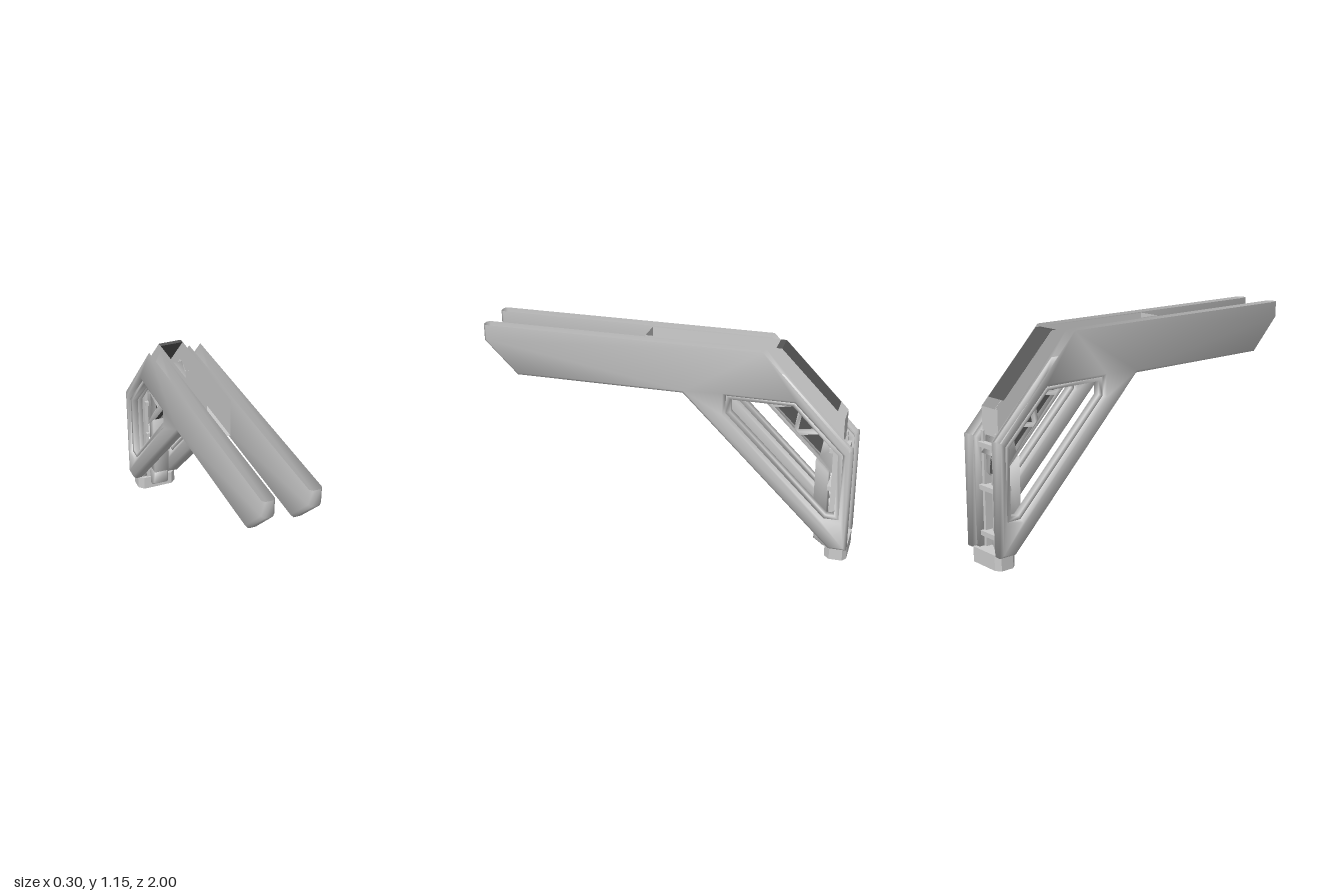
import * as THREE from 'three';

const grey = new THREE.MeshStandardMaterial({ color: 0xcccccc, side: THREE.DoubleSide });
const greyOneSided = new THREE.MeshStandardMaterial({ color: 0xcccccc });
const dark = new THREE.MeshStandardMaterial({ color: 0x555555, side: THREE.DoubleSide });

// Averages the face normals at every shared corner, giving soft gradients
function softenNormals(geometry) {
  const position = geometry.getAttribute('position');
  const flat = geometry.getAttribute('normal');
  const sums = new Map();
  const key = (i) => [position.getX(i), position.getY(i), position.getZ(i)].map((v) => v.toFixed(4)).join();
  for (let i = 0; i < position.count; i++) {
    const sum = sums.get(key(i)) ?? new THREE.Vector3();
    sums.set(key(i), sum.add(new THREE.Vector3().fromBufferAttribute(flat, i)));
  }
  for (let i = 0; i < position.count; i++) {
    const n = sums.get(key(i)).clone().normalize();
    flat.setXYZ(i, n.x, n.y, n.z);
  }
}

// Leaves out the rim faces whose corners all satisfy isOpen(z, y), making an open shell
function openShell(geometry, isOpen) {
  const position = geometry.getAttribute('position');
  const kept = [];
  for (let i = 0; i < position.count; i += 3) {
    const corners = [0, 1, 2].map((k) => new THREE.Vector3().fromBufferAttribute(position, i + k));
    const isRim = corners.some((c) => Math.abs(c.z - corners[0].z) > 1e-4);
    if (isRim && corners.every((c) => isOpen(c.x, c.y))) continue;
    corners.forEach((c) => kept.push(c.x, Math.min(c.y, 1.15), c.z));
  }
  const shell = new THREE.BufferGeometry();
  shell.setAttribute('position', new THREE.Float32BufferAttribute(kept, 3));
  shell.computeVertexNormals();
  return shell;
}

// Extrudes a side profile of [z, y] points across x, centred on the given x
function slab(name, profile, x, width, { holes = [], bevel = 0, rim = 0, isOpen, soft = false, material = grey } = {}) {
  const toPoints = (list) => list.map(([z, y]) => new THREE.Vector2(z, y));
  const shape = new THREE.Shape(toPoints(profile));
  shape.holes = holes.map((h) => new THREE.Path(toPoints(h)));
  const depth = width - 2 * rim;
  let geometry = new THREE.ExtrudeGeometry(shape, {
    depth, bevelEnabled: bevel > 0, bevelThickness: rim,
    bevelSize: bevel, bevelOffset: -bevel, bevelSegments: 1,
  });
  if (isOpen) geometry = openShell(geometry, isOpen);
  geometry.translate(0, 0, -depth / 2).rotateY(-Math.PI / 2).translate(x, 0, 0);
  if (soft) softenNormals(geometry);
  const mesh = new THREE.Mesh(geometry, material);
  mesh.name = name;
  return mesh;
}

function box(name, x0, x1, y0, y1, z0, z1) {
  const mesh = new THREE.Mesh(new THREE.BoxGeometry(x1 - x0, y1 - y0, z1 - z0), grey);
  mesh.position.set((x0 + x1) / 2, (y0 + y1) / 2, (z0 + z1) / 2);
  mesh.name = name;
  return mesh;
}

export function createModel() {
  const model = new THREE.Group();
  model.name = 'bentArmBracket';

  const armOutline = [
    [1, 1.165], [-0.527, 1.165], [-1, 0.662], [-1, 0.075], [-0.905, 0.075],
    [-0.1, 0.88], [0.82, 0.88], [1, 1.06],
  ];
  // The arms are hollow: open along the top and the back slope
  const armTop = (z, y) => y > Math.min(1.165, 0.662 + (z + 1) * 1.0625) - 0.03;
  const windowOutline = [
    [-0.33, 0.89], [-0.69, 0.89], [-0.95, 0.63], [-0.95, 0.25], [-0.87, 0.25], [-0.33, 0.79],
  ];
  const windowInner = [
    [-0.355, 0.87], [-0.68, 0.87], [-0.925, 0.622], [-0.925, 0.272], [-0.88, 0.272], [-0.355, 0.8],
  ];
  // Inner wall that follows the back edge of the arm
  const linerOutline = [
    [-0.48, 0.9], [-0.48, 1.02], [-0.62, 1.02], [-0.98, 0.65], [-0.98, 0.08],
    [-0.9, 0.08], [-0.9, 0.25], [-0.93, 0.28], [-0.93, 0.62], [-0.68, 0.9],
  ];

  // Mirrored side arms with stepped window frames
  for (const side of [1, -1]) {
    const arm = new THREE.Group();
    arm.name = side > 0 ? 'leftArm' : 'rightArm';
    arm.add(
      slab('armShell', armOutline, side * 0.117, 0.066,
        { holes: [windowOutline], bevel: 0.015, rim: 0.014, isOpen: armTop, soft: true }),
      slab('windowFrame', windowOutline, side * 0.115, 0.036, { holes: [windowInner], soft: true }),
      slab('innerWall', linerOutline, side * 0.078, 0.026, { soft: true }),
    );
    model.add(arm);
  }

  // Central trough: open above, at the nose and along the back slope
  const troughOpening = (z, y) => y > 1.14 || z > 0.11 || (z < -0.59 && y > z + 1.72);
  model.add(slab('trough', [
    [0.12, 1.15], [-0.6, 1.15], [-0.94, 0.8], [-0.94, 0.66], [-0.69, 0.9], [-0.5, 0.9], [-0.5, 0.94], [0.12, 0.94],
  ], 0, 0.13, { isOpen: troughOpening }));
  const nose = new THREE.Mesh(new THREE.PlaneGeometry(0.13, 0.21).rotateY(Math.PI), greyOneSided);
  nose.name = 'noseWall';
  nose.position.set(0, 1.045, 0.12);
  model.add(nose);
  model.add(slab('slopePanel', [
    [-0.57, 1.15], [-0.6, 1.15], [-0.9, 0.84], [-0.87, 0.84],
  ], 0, 0.128, { material: dark }));

  // Diagonal truss: triangular cut-outs alternate along its length
  const along = (u, v) => [-0.47 - (u + v) * Math.SQRT1_2, 0.89 + (v - u) * Math.SQRT1_2];
  const cutouts = [];
  for (let i = 0; i < 5; i++) {
    const u = 0.1 + i * 0.1;
    const [base, tip] = i % 2 ? [0.02, 0.125] : [0.125, 0.02];
    cutouts.push([along(u - 0.075, base), along(u + 0.075, base), along(u, tip)]);
  }
  const trussOutline = [
    along(0, 0), along(0.63, 0), along(0.63, 0.03), along(0.5, 0.16), along(-0.07, 0.16), along(-0.07, 0.07),
  ];
  model.add(
    slab('truss', trussOutline, 0, 0.09, { holes: cutouts, soft: true }),
    slab('trussWeb', trussOutline, 0, 0.03, { material: dark }),
  );

  // Column between the arms, hollowed towards the back
  model.add(slab('columnFront', [
    [-0.8, 0.16], [-0.8, 0.54], [-0.87, 0.47], [-0.87, 0.16],
  ], 0, 0.09, { soft: true }));
  for (const side of [1, -1]) {
    const x = side * 0.056;
    model.add(box('columnCheek', x - 0.01, x + 0.01, 0.08, 0.68, -0.95, -0.89));
  }
  for (const y of [0.14, 0.38, 0.6]) {
    model.add(box('crossBar', -0.065, 0.065, y, y + 0.025, -0.97, -0.87));
  }
  const rod = new THREE.Mesh(new THREE.CylinderGeometry(0.025, 0.025, 0.56, 12), grey);
  rod.name = 'columnRod';
  rod.position.set(0, 0.36, -0.91);
  model.add(rod);

  // Front hook and chamfered foot
  model.add(slab('hook', [
    [-0.81, 0.17], [-0.92, 0.17], [-0.92, 0.03], [-0.865, 0.03], [-0.81, 0.07],
  ], 0, 0.09, { bevel: 0.008, rim: 0.008, soft: true }));
  const footShape = new THREE.Shape([
    [-0.12, 0.91], [-0.09, 0.88], [0.09, 0.88], [0.12, 0.91], [0.12, 0.98], [0.09, 1], [-0.09, 1], [-0.12, 0.98],
  ].map(([x, back]) => new THREE.Vector2(x, back)));
  const foot = new THREE.Mesh(
    new THREE.ExtrudeGeometry(footShape, { depth: 0.08, bevelEnabled: false }).rotateX(-Math.PI / 2), grey);
  foot.name = 'foot';
  model.add(foot);

  return model;
}
